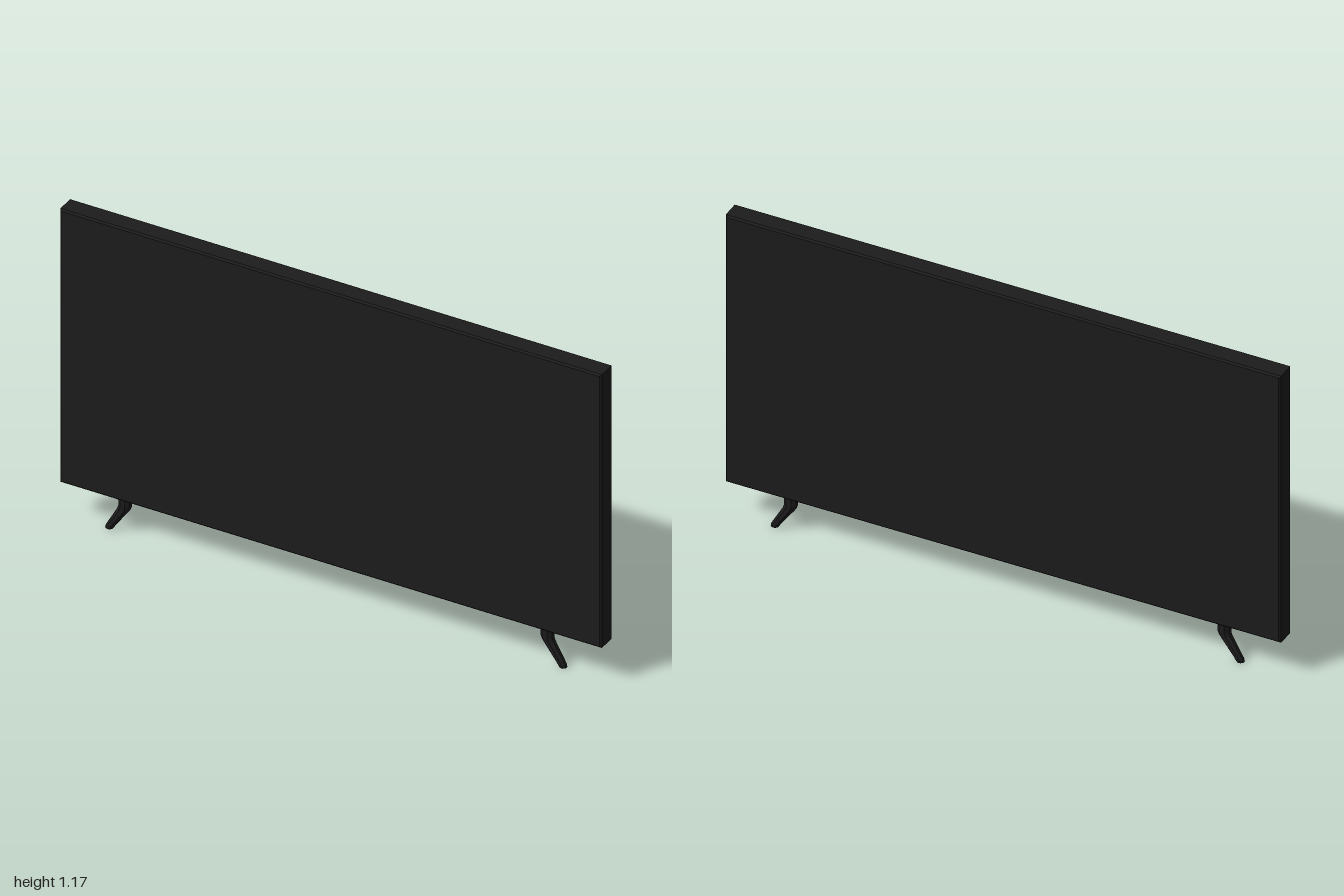
import * as THREE from 'three';

const material = (color) => new THREE.MeshStandardMaterial({ color, flatShading: true });

// Flat slab with a narrow chamfer around its front and back edges
function chamferedSlab(width, height, depth, chamfer) {
  const w = width / 2 - chamfer, h = height / 2 - chamfer;
  const shape = new THREE.Shape([
    new THREE.Vector2(-w, -h), new THREE.Vector2(w, -h),
    new THREE.Vector2(w, h), new THREE.Vector2(-w, h),
  ]);
  const geometry = new THREE.ExtrudeGeometry(shape, {
    depth: depth - 2 * chamfer, bevelEnabled: true, bevelSegments: 1,
    bevelSize: chamfer, bevelThickness: chamfer,
  });
  return geometry.center();
}

// Eight-sided column bent through rings of [y, centre x, half width, half depth], top to bottom
function bentLeg(rings, side) {
  const n = rings.length - 1;
  const geometry = new THREE.CylinderGeometry(1, 1, 1, 8, n, false, Math.PI / 8);
  const p = geometry.attributes.position;
  const flat = Math.cos(Math.PI / 8);
  for (let i = 0; i < p.count; i++) {
    const [y, cx, hw, hd] = rings[Math.round((0.5 - p.getY(i)) * n)];
    p.setXYZ(i, side * cx + (p.getX(i) / flat) * hw, y, (p.getZ(i) / flat) * hd - 0.002);
  }
  geometry.computeVertexNormals();
  return geometry;
}

export function createModel() {
  const group = new THREE.Group();
  const dark = material(0x1c1c1c);

  // Display panel
  const panel = new THREE.Mesh(chamferedSlab(2, 1.035, 0.075, 0.006), dark);
  panel.name = 'displayPanel';
  panel.position.y = 0.6575;
  group.add(panel);

  // Splayed legs: short upright neck, then a tapering foot
  const rings = [
    [0.145, 0.78, 0.021, 0.02],
    [0.1, 0.78, 0.021, 0.018],
    [0.086, 0.785, 0.021, 0.016],
    [0.012, 0.833, 0.015, 0.014],
    [0, 0.838, 0.013, 0.012],
  ];
  for (const [name, side] of [['leftLeg', 1], ['rightLeg', -1]]) {
    const leg = new THREE.Mesh(bentLeg(rings, side), dark);
    leg.name = name;
    group.add(leg);
  }
  return group;
}
